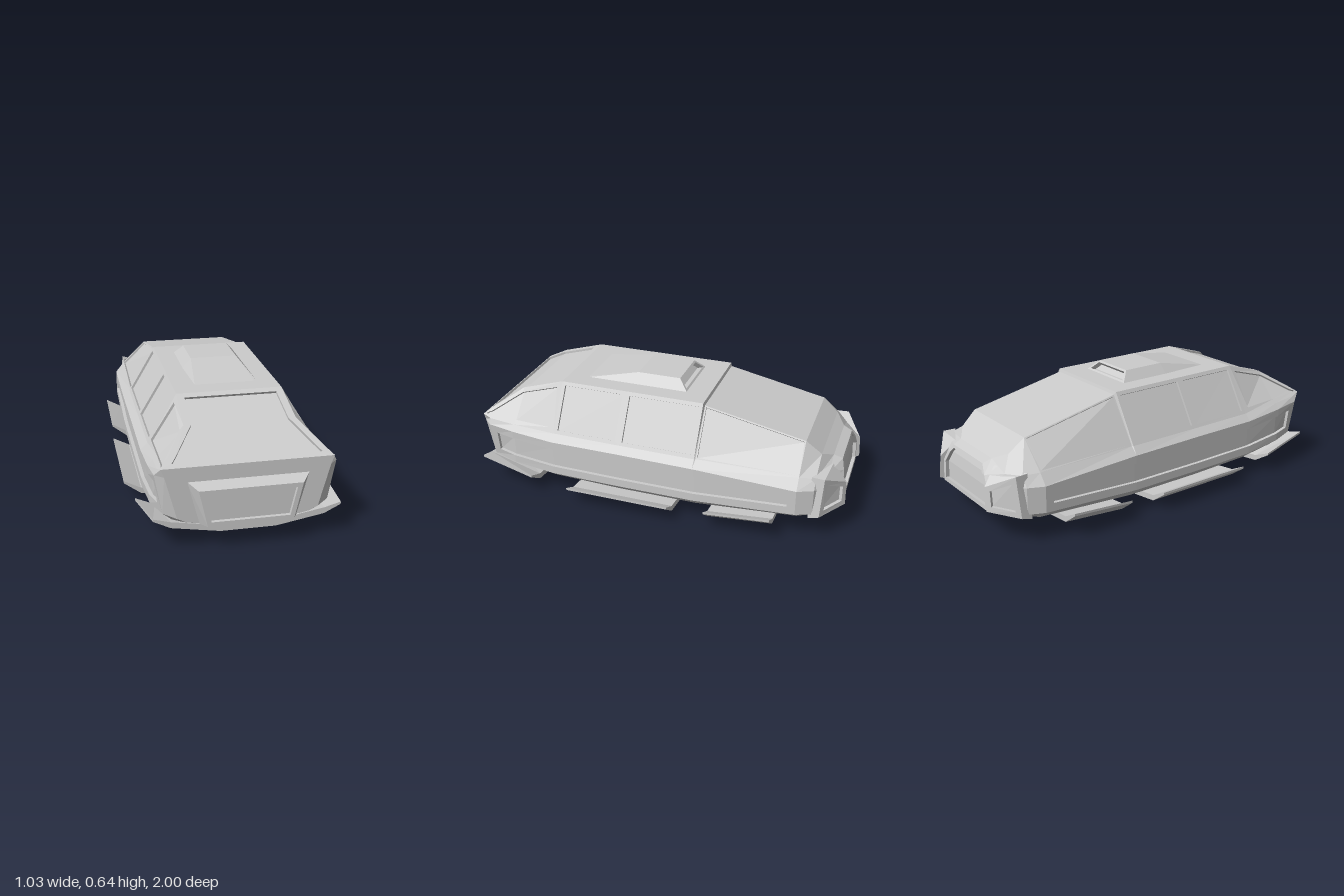
import * as THREE from 'three';

const V = (x, y, z) => new THREE.Vector3(x, y, z);
const material = new THREE.MeshStandardMaterial({ color: 0xcccccc, flatShading: true, side: THREE.DoubleSide });

// Ribbon of quads between two point lists
function strip(out, a, b) {
  for (let i = 0; i < a.length - 1; i++) out.push(a[i], a[i + 1], b[i + 1], a[i], b[i + 1], b[i]);
}

// Summed normal and centroid of a ribbon
function facing(a, b) {
  const n = V(0, 0, 0), c = V(0, 0, 0);
  for (let i = 0; i < a.length - 1; i++) {
    n.add(b[i + 1].clone().sub(a[i]).cross(b[i].clone().sub(a[i + 1])));
  }
  [...a, ...b].forEach(p => c.add(p));
  return { n: n.normalize(), c: c.divideScalar(a.length * 2) };
}

// Ribbon turned outward from a centre; with a margin it gets a sunken floor inside a frame
function panel(out, a, b, margin = 0, depth = 0, centre = null) {
  const { n, c } = facing(a, b);
  if (n.dot(c.clone().sub(centre || V(0, 0.3, c.z * 0.5))) < 0) { [a, b] = [b, a]; n.negate(); }
  if (!margin) return strip(out, a, b);
  const toward = (p, q, max) => {
    const d = p.distanceTo(q);
    return d < 1e-6 ? p.clone() : p.clone().lerp(q, Math.min(margin / d, max));
  };
  const trimEnds = l => l.map((p, i) =>
    i === 0 ? toward(p, l[1], 0.45) : i === l.length - 1 ? toward(p, l[i - 1], 0.45) : p.clone());
  const ta = trimEnds(a), tb = trimEnds(b);
  const ia = ta.map((p, i) => toward(p, tb[i], 0.35));
  const ib = tb.map((p, i) => toward(p, ta[i], 0.35));
  const sink = l => l.map(p => p.clone().addScaledVector(n, -depth));
  const fa = sink(ia), fb = sink(ib);
  const loop = (p, q) => [...p, ...q.slice().reverse(), p[0]];
  strip(out, loop(a, b), loop(ia, ib));
  strip(out, loop(ia, ib), loop(fa, fb));
  strip(out, fa, fb);
}

// Raised block from a base quad to a face quad, the face optionally sunken
function block(out, base, face, margin, depth) {
  const c = V(0, 0, 0);
  [...base, ...face].forEach(p => c.addScaledVector(p, 1 / 8));
  for (let i = 0; i < 4; i++) {
    const j = (i + 1) % 4;
    panel(out, [base[i], base[j]], [face[i], face[j]], 0, 0, c);
  }
  panel(out, [face[0], face[1]], [face[3], face[2]], margin, depth, c);
}

// Hull stations front to back: z, then half-section points from the floor up to the roof edge
const stations = [
  [0.945, [0.24, 0.12], [0.29, 0.13], [0.33, 0.15], [0.385, 0.36], [0.40, 0.40], [0.40, 0.40]],
  [0.90, [0.28, 0.10], [0.34, 0.12], [0.39, 0.16], [0.425, 0.355], [0.41, 0.385], [0.362, 0.433]],
  [0.76, [0.30, 0.08], [0.37, 0.105], [0.43, 0.15], [0.435, 0.34], [0.41, 0.37], [0.265, 0.525]],
  [0.53, [0.31, 0.06], [0.39, 0.09], [0.44, 0.13], [0.44, 0.32], [0.405, 0.355], [0.26, 0.595]],
  [0.165, [0.31, 0.045], [0.39, 0.08], [0.44, 0.125], [0.44, 0.318], [0.405, 0.352], [0.26, 0.595]],
  [-0.25, [0.31, 0.045], [0.39, 0.08], [0.44, 0.125], [0.44, 0.312], [0.405, 0.35], [0.26, 0.595]],
  [-0.256, [0.31, 0.045], [0.39, 0.08], [0.44, 0.125], [0.44, 0.312], [0.40, 0.35], [0.25, 0.58]],
  [-0.78, [0.29, 0.085], [0.37, 0.105], [0.43, 0.15], [0.43, 0.285], [0.385, 0.34], [0.25, 0.472]],
  [-0.86, [0.26, 0.1], [0.32, 0.115], [0.395, 0.15], [0.395, 0.285], [0.36, 0.335], [0.235, 0.405]],
  [-0.91, [0.21, 0.11], [0.25, 0.12], [0.32, 0.14], [0.32, 0.275], [0.28, 0.33], [0.16, 0.37]],
  [-0.96, [0.19, 0.12], [0.21, 0.125], [0.23, 0.14, -0.985], [0.23, 0.25, -0.98], [0.19, 0.31, -0.97], [0.15, 0.352, -0.955]],
];
const at = (i, k, s) => {
  const [x, y, z = stations[i][0]] = stations[i][k];
  return V(x * s, y, z);
};
// Line k of the hull from station i0 to i1 on side s
const line = (k, i0, i1, s) => Array.from({ length: i1 - i0 + 1 }, (_, n) => at(i0 + n, k, s));
const section = (i, k0, k1, s) => Array.from({ length: k1 - k0 + 1 }, (_, n) => at(i, k0 + n, s));
const END = stations.length - 1;

export function createModel() {
  const group = new THREE.Group();
  const add = (name, build) => {
    const pts = [];
    build(pts);
    const g = new THREE.BufferGeometry().setFromPoints(pts);
    g.computeVertexNormals();
    const m = new THREE.Mesh(g, material);
    m.name = name;
    group.add(m);
  };

  // Plain hull skin: floor, lower flanks, shoulders, roof, deck and nose
  add('hull', o => {
    for (const s of [1, -1]) {
      for (const k of [1, 2, 4]) panel(o, line(k, 0, END, s), line(k + 1, 0, END, s));
      panel(o, line(3, 0, 1, s), line(4, 0, 1, s));
      panel(o, line(3, 7, END, s), line(4, 7, END, s));
      panel(o, line(5, 5, 6, s), line(6, 5, 6, s));
      panel(o, line(5, 7, END, s), line(6, 7, END, s));
    }
    panel(o, line(1, 0, END, 1), line(1, 0, END, -1));
    panel(o, line(6, 3, END, 1), line(6, 3, END, -1));
    panel(o, section(0, 1, 5, 1), section(0, 1, 5, -1));
    panel(o, section(END, 1, 3, 1), section(END, 1, 3, -1));
  });

  add('windshield', o => panel(o, line(6, 0, 3, 1), line(6, 0, 3, -1), 0.035, 0.012));
  add('rearWindow', o => panel(o, section(END, 3, 6, 1), section(END, 3, 6, -1), 0.022, 0.018));

  for (const s of [1, -1]) {
    const side = s > 0 ? 'left' : 'right';
    [[0, 3, 0.028], [3, 4, 0.02], [4, 5, 0.02], [6, 7, 0.008]].forEach(([i, j, m], n) =>
      add(`${side}Window${n + 1}`, o => panel(o, line(5, i, j, s), line(6, i, j, s), m, 0.012)));
    add(`${side}SidePanel`, o => panel(o, line(3, 1, 7, s), line(4, 1, 7, s), 0.042, 0.018));

    // Angled rear corner lamp
    add(`${side}RearLamp`, o => block(o,
      [V(0.40 * s, 0.125, -0.84), V(0.23 * s, 0.13, -0.95), V(0.2 * s, 0.35, -0.92), V(0.37 * s, 0.345, -0.84)],
      [V(0.40 * s, 0.14, -0.895), V(0.25 * s, 0.15, -1.0), V(0.235 * s, 0.27, -0.995), V(0.375 * s, 0.345, -0.905)],
      0.028, 0.018));
  }

  // Protruding nose grille
  const trapezoid = (wTop, yTop, wLow, yLow, z) =>
    [V(wTop, yTop, z), V(-wTop, yTop, z), V(-wLow, yLow, z), V(wLow, yLow, z)];
  add('grille', o => block(o, trapezoid(0.285, 0.33, 0.23, 0.115, 0.94), trapezoid(0.24, 0.305, 0.2, 0.125, 1.0), 0.022, 0.018));

  // Roof scoop: fades into the roof at the front, open vent at the back
  add('roofScoop', o => {
    const base = [[0.165, 0.42], [0.165, 0.15], [0.165, -0.13]];
    const crest = [[0.15, 0.42, 0.595], [0.12, 0.15, 0.645], [0.12, -0.08, 0.645]];
    const low = s => base.map(([x, z]) => V(x * s, 0.594, z));
    const high = s => crest.map(([x, z, y]) => V(x * s, y, z));
    for (const s of [1, -1]) panel(o, low(s), high(s));
    panel(o, high(1), high(-1));
    panel(o, [low(1)[2], low(-1)[2]], [high(1)[2], high(-1)[2]], 0.014, 0.025);
  });

  // Stepped pan under the tail
  add('rearPan', o => {
    const ring = (w, z0, z1, y) => [[w, z0], [w, z1 + 0.1], [w - 0.1, z1]].map(([x, z]) => [x, y, z]);
    const upper = ring(0.27, -0.5, -0.88, 0.11), lower = ring(0.23, -0.54, -0.84, 0.07);
    const pts = (r, s) => r.map(([x, y, z]) => V(x * s, y, z));
    for (const s of [1, -1]) panel(o, pts(upper, s), pts(lower, s));
    panel(o, pts(lower, 1), pts(lower, -1));
    for (const i of [0, 2]) {
      panel(o, [pts(upper, 1)[i], pts(upper, -1)[i]], [pts(lower, 1)[i], pts(lower, -1)[i]], 0, 0, V(0, 0.09, -0.69));
    }
  });

  // Wide hover plates with upturned tips: half-profiles of the underside at both ends
  const plates = {
    frontHoverPlate: [0.95, [[0.13, 0.07], [0.36, 0.11], [0.44, 0.15]], 0.64, [[0.17, 0.02], [0.39, 0.045], [0.485, 0.105]]],
    middleHoverPlate: [0.42, [[0.195, 0], [0.43, 0.03], [0.515, 0.092]], -0.14, [[0.195, 0], [0.43, 0.03], [0.515, 0.092]]],
    rearHoverPlate: [-0.33, [[0.19, 0.01], [0.42, 0.035], [0.503, 0.1]], -0.67, [[0.19, 0.042], [0.42, 0.065], [0.503, 0.128]]],
  };
  for (const [name, [z0, p0, z1, p1]] of Object.entries(plates)) {
    add(name, o => {
      const row = (p, z, lift) => [
        ...p.slice().reverse().map(([x, y], i) => V(-x, y + (i ? lift : lift * 0.4), z)),
        ...p.map(([x, y], i) => V(x, y + (i < 2 ? lift : lift * 0.4), z))];
      const t = 0.03;
      const fb = row(p0, z0, 0), ft = row(p0, z0, t), bb = row(p1, z1, 0), bt = row(p1, z1, t);
      const c = facing([...fb, ...ft], [...bb, ...bt]).c;
      panel(o, fb, bb, 0, 0, c);
      panel(o, ft, bt, 0, 0, c);
      panel(o, fb, ft, 0, 0, c);
      panel(o, bb, bt, 0, 0, c);
      for (const i of [0, 5]) panel(o, [fb[i], ft[i]], [bb[i], bt[i]], 0, 0, c);
    });
  }
  return group;
}
